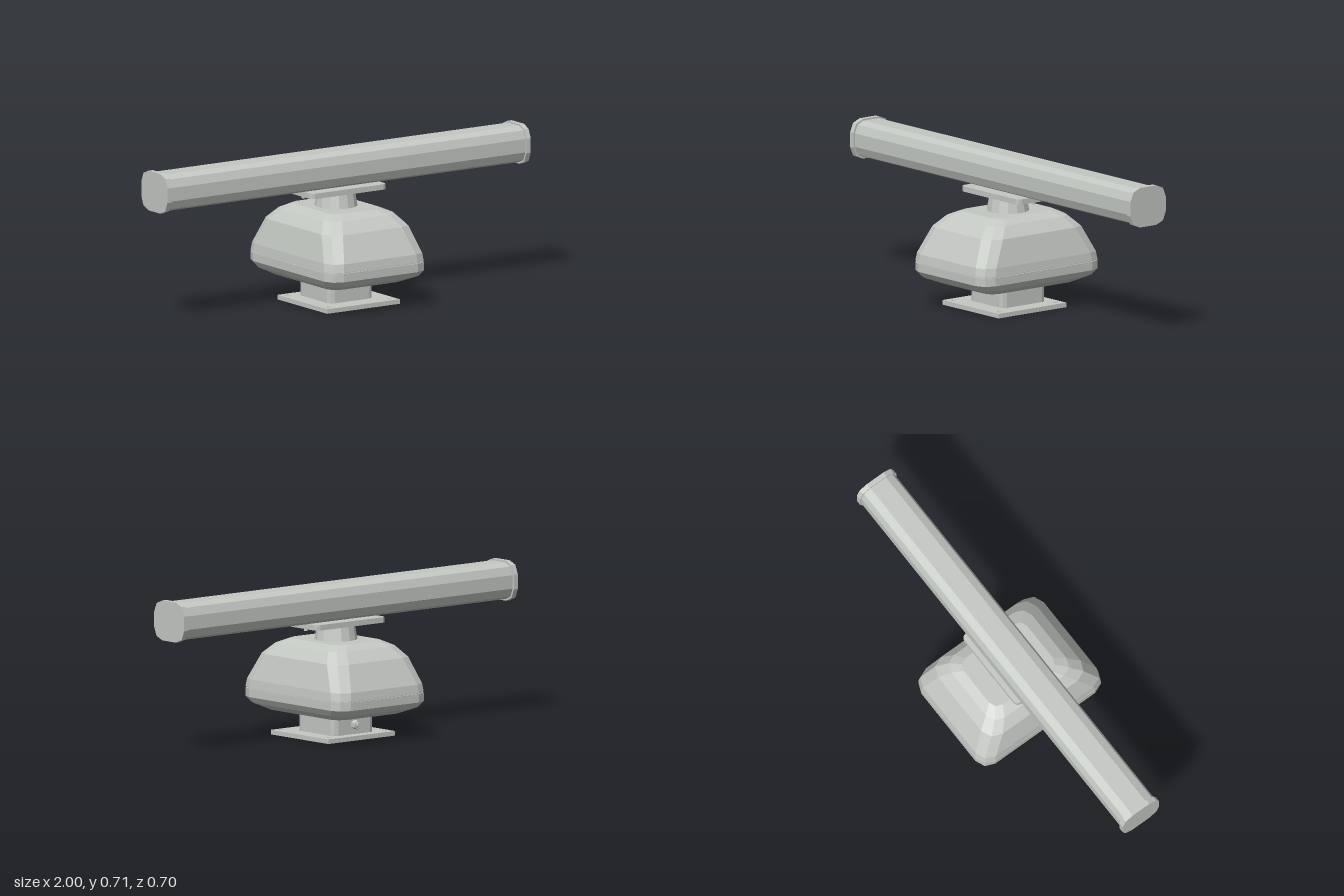
import * as THREE from 'three';

const grey = new THREE.MeshStandardMaterial({ color: 0xc4c8c3 });
grey.name = 'light grey';

// Rounded rectangle with three points per corner, counter-clockwise in (x, -z)
function ring([y, hx, hz, cz, r]) {
  const pts = [];
  [[1, 1], [-1, 1], [-1, -1], [1, -1]].forEach(([sx, sz], c) => {
    for (let i = 0; i < 3; i++) {
      const a = (c + i / 2) * Math.PI / 2;
      pts.push([sx * (hx - r) + r * Math.cos(a), y, cz - (sz * (hz - r) + r * Math.sin(a))]);
    }
  });
  return pts;
}

// Faceted solid through sections [y, halfX, halfZ, centreZ, cornerRadius], bottom to top
function loft(sections) {
  const rings = sections.map(ring), n = rings[0].length, pos = [];
  const tri = (a, b, c) => pos.push(...a, ...b, ...c);
  for (let k = 0; k < rings.length - 1; k++) {
    for (let i = 0; i < n; i++) {
      const j = (i + 1) % n, lo = rings[k], hi = rings[k + 1];
      tri(lo[i], lo[j], hi[j]);
      tri(lo[i], hi[j], hi[i]);
    }
  }
  const bottom = rings[0], top = rings[rings.length - 1];
  for (let i = 1; i < n - 1; i++) {
    tri(top[0], top[i], top[i + 1]);
    tri(bottom[0], bottom[i + 1], bottom[i]);
  }
  const g = new THREE.BufferGeometry();
  g.setAttribute('position', new THREE.Float32BufferAttribute(pos, 3));
  g.computeVertexNormals();
  return g;
}

// Twelve-sided bar section extruded along x, centred on the origin
function barGeometry(length, hz, hy) {
  const q = [[1, 0.37], [0.84, 0.82], [0.46, 1]], pts = [];
  const add = (list, sx, sy) => list.forEach(([u, v]) => pts.push(new THREE.Vector2(sx * u * hz, sy * v * hy)));
  const back = [...q].reverse();
  add(q, 1, 1);
  add(back, -1, 1);
  add(q, -1, -1);
  add(back, 1, -1);
  const g = new THREE.ExtrudeGeometry(new THREE.Shape(pts), { depth: length, bevelEnabled: false });
  return g.translate(0, 0, -length / 2).rotateY(Math.PI / 2);
}

// Faceted cylinder as non-indexed flat faces
function facetCylinder(rTop, rBottom, h, sides) {
  const g = new THREE.CylinderGeometry(rTop, rBottom, h, sides).toNonIndexed();
  g.computeVertexNormals();
  return g;
}

export function createModel() {
  const model = new THREE.Group();
  model.name = 'radarScanner';
  const add = (name, geometry, x = 0, y = 0, z = 0) => {
    const m = new THREE.Mesh(geometry, grey);
    m.name = name;
    m.position.set(x, y, z);
    model.add(m);
    return m;
  };

  // Mounting plate with four bolt holes
  const plate = new THREE.Shape([[-0.2, -0.1985], [0.2, -0.1985], [0.2, 0.1985], [-0.2, 0.1985]]
    .map(([x, y]) => new THREE.Vector2(x, y)));
  for (const sx of [-1, 1]) for (const sy of [-1, 1]) {
    const hole = new THREE.Path();
    hole.absarc(sx * 0.165, sy * 0.165, 0.011, 0, Math.PI * 2, true);
    plate.holes.push(hole);
  }
  add('basePlate', new THREE.ExtrudeGeometry(plate, { depth: 0.021, bevelEnabled: false, curveSegments: 6 })
    .rotateX(-Math.PI / 2), 0, 0, 0.0115);

  // Pedestal and rear cable connector
  add('pedestal', loft([[0.02, 0.12, 0.127, -0.0085, 0.025], [0.115, 0.12, 0.127, -0.0085, 0.025]]));
  add('connectorNut', facetCylinder(0.021, 0.021, 0.028, 6), 0, 0.065, -0.147).rotation.x = Math.PI / 2;
  add('connectorTip', facetCylinder(0.014, 0.014, 0.012, 8), 0, 0.065, -0.165).rotation.x = Math.PI / 2;

  // Gearbox housing: lower tray, seam, upper cover
  add('lowerHousing', loft([
    [0.113, 0.2, 0.255, 0, 0.05],
    [0.141, 0.25, 0.325, 0, 0.06],
    [0.169, 0.268, 0.348, 0, 0.065],
    [0.208, 0.268, 0.348, 0, 0.065]]));
  add('housingSeam', loft([[0.206, 0.262, 0.341, 0, 0.06], [0.215, 0.262, 0.341, 0, 0.06]]));
  add('upperHousing', loft([
    [0.213, 0.268, 0.348, 0, 0.065],
    [0.25, 0.264, 0.342, 0, 0.066],
    [0.37, 0.232, 0.282, -0.002, 0.07],
    [0.42, 0.19, 0.229, -0.004, 0.06],
    [0.443, 0.14, 0.18, -0.009, 0.045]]));

  // Rotating neck, bracket and bracket bolts
  add('neck', facetCylinder(0.086, 0.098, 0.07, 14), 0, 0.476, -0.009);
  add('bracket', loft([[0.51, 0.207, 0.108, -0.009, 0.02], [0.535, 0.207, 0.108, -0.009, 0.02]]));
  for (const s of [-1, 1]) add('bracketBolt', facetCylinder(0.009, 0.009, 0.016, 6), s * 0.18, 0.504, -0.009);

  // Antenna bar with slightly larger end caps
  add('antennaBar', barGeometry(1.96, 0.095, 0.084), 0, 0.6185, -0.0095);
  for (const s of [-1, 1]) add('endCap', barGeometry(0.024, 0.1035, 0.0915), s * 0.988, 0.6185, -0.0095);

  return model;
}
